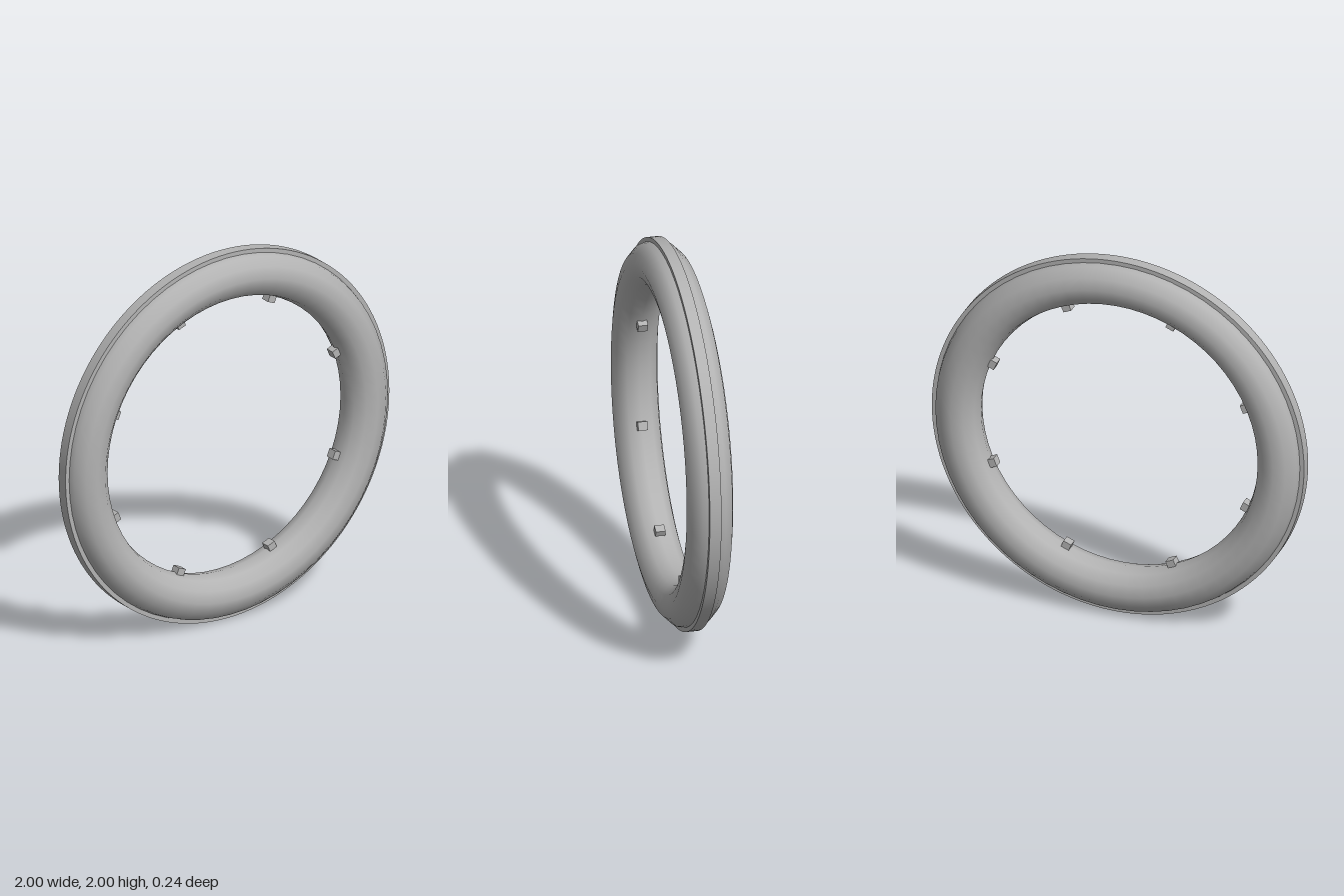
import * as THREE from 'three';

export function createModel() {
  const model = new THREE.Group();
  const grey = new THREE.MeshStandardMaterial({ color: 0xb3b3b3 });
  grey.name = 'grey';

  // everything is arranged around the ring's centre
  const ring = new THREE.Group();
  ring.name = 'ring';
  ring.position.y = 1;
  model.add(ring);

  const add = (name, geometry) => {
    const mesh = new THREE.Mesh(geometry, grey);
    mesh.name = name;
    ring.add(mesh);
    return mesh;
  };

  // main round tube
  add('tube', new THREE.TorusGeometry(0.866, 0.12, 12, 64));

  // flat raised band around the outer rim
  const outline = new THREE.Shape().absarc(0, 0, 1, 0, Math.PI * 2);
  outline.holes.push(new THREE.Path().absarc(0, 0, 0.95, 0, Math.PI * 2, true));
  const band = new THREE.ExtrudeGeometry(outline, { depth: 0.06, bevelEnabled: false, curveSegments: 64 });
  band.translate(0, 0, -0.03);
  // smooth the rim by pointing its normals away from or toward the axis
  const p = band.attributes.position, n = band.attributes.normal;
  for (let i = 0; i < p.count; i++) {
    if (Math.abs(n.getZ(i)) > 0.5) continue;
    const r = Math.hypot(p.getX(i), p.getY(i)) * (p.getX(i) * n.getX(i) + p.getY(i) * n.getY(i) > 0 ? 1 : -1);
    n.setXYZ(i, p.getX(i) / r, p.getY(i) / r, 0);
  }
  add('outerBand', band);

  // eight small studs on the inner edge
  const studGeometry = new THREE.BoxGeometry(0.05, 0.045, 0.05);
  for (let i = 0; i < 8; i++) {
    const a = (i + 0.5) * Math.PI / 4;
    const stud = add('innerStud', studGeometry);
    stud.position.set(0.741 * Math.cos(a), 0.741 * Math.sin(a), 0);
    stud.rotation.z = a;
  }
  return model;
}
